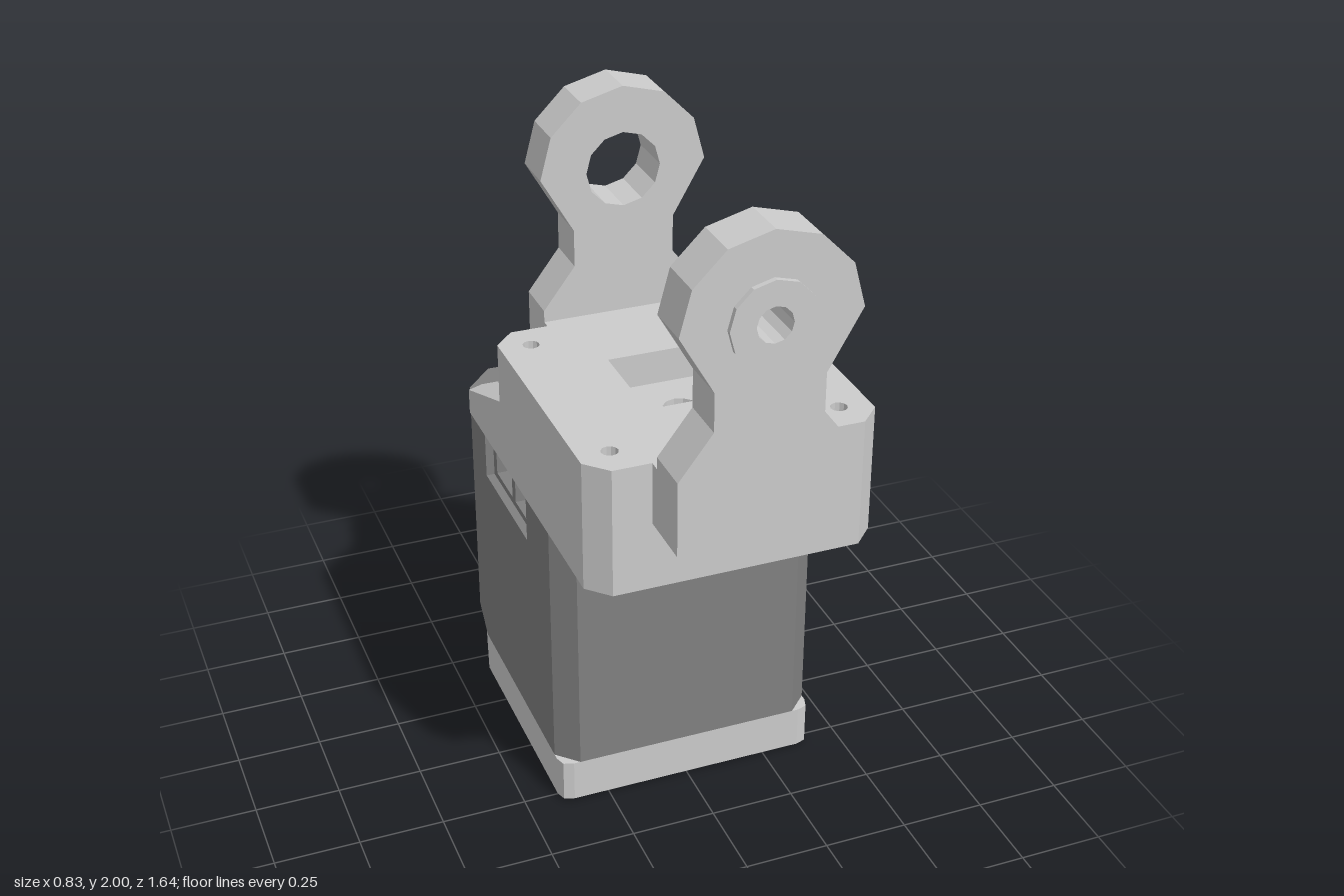
import * as THREE from 'three';

const light = new THREE.MeshStandardMaterial({ color: 0xcccccc, flatShading: true });
const dark = new THREE.MeshStandardMaterial({ color: 0x808080, flatShading: true });

// Points of a regular polygon, from angle a0 to a1 (degrees)
function arc(cx, cy, r, a0 = 0, a1 = 330, step = 30) {
  const pts = [];
  const n = Math.round(Math.abs(a1 - a0) / step);
  for (let i = 0; i <= n; i++) {
    const a = THREE.MathUtils.degToRad(a0 + ((a1 - a0) * i) / n);
    pts.push([cx + r * Math.cos(a), cy + r * Math.sin(a)]);
  }
  return pts;
}

// Completes a right-hand outline with its mirror image across x = 0
const mirrored = (pts) => [...pts, ...pts.map(([x, y]) => [-x, y]).reverse().filter(([x]) => x !== 0)];

const rect = (x0, y0, x1, y1) => [[x0, y0], [x1, y0], [x1, y1], [x0, y1]];
const vecs = (pts) => pts.map(([x, y]) => new THREE.Vector2(x, y));

function extrude(pts, depth, holes = []) {
  const shape = new THREE.Shape(vecs(pts));
  holes.forEach((h) => shape.holes.push(new THREE.Path(vecs(h))));
  return new THREE.ExtrudeGeometry(shape, { depth, bevelEnabled: false });
}

// Plan outline of [x, z] points raised from y0 to y1
function slab(pts, y0, y1, holes = []) {
  const flip = (p) => p.map(([x, z]) => [x, -z]);
  return extrude(flip(pts), y1 - y0, holes.map(flip)).rotateX(-Math.PI / 2).translate(0, y0, 0);
}

export function createModel() {
  const model = new THREE.Group();
  const add = (name, geometry, material, parent = model) => {
    const mesh = new THREE.Mesh(geometry, material);
    mesh.name = name;
    parent.add(mesh);
    return mesh;
  };
  const axisZ = -0.42;

  // Motor body in layers; the middle ones are notched for the side connector
  const body = new THREE.Group();
  body.name = 'motorBody';
  model.add(body);
  const half = [[0.34, 0.3], [0.4, 0.24], [0.4, axisZ], [0.37, -0.6], [0.28, -0.7]];
  const socket = [
    [],
    [[-0.4, -0.35], [-0.375, -0.35], [-0.375, 0.04], [-0.4, 0.04]],
    [[-0.4, -0.35], [-0.375, -0.35],
      [-0.375, -0.32], [-0.27, -0.32], [-0.27, -0.17], [-0.375, -0.17],
      [-0.375, -0.14], [-0.27, -0.14], [-0.27, 0.01], [-0.375, 0.01],
      [-0.375, 0.04], [-0.4, 0.04]],
  ];
  const levels = [0.14, 0.77, 0.79, 0.9, 0.92, 0.94];
  [0, 1, 2, 1, 0].forEach((kind, i) => {
    const outline = mirrored(half);
    outline.splice(8, 0, ...socket[kind]);
    add('bodyLayer', slab(outline, levels[i], levels[i + 1]), dark, body);
  });

  // Output discs and shafts above and below the body
  const disc = (name, r, y0, y1) =>
    add(name, new THREE.CylinderGeometry(r, r, y1 - y0, 12).translate(0, (y0 + y1) / 2, axisZ), dark);
  disc('upperDisc', 0.19, 0.94, 0.97);
  disc('upperShaft', 0.09, 0.97, 1.03);
  disc('lowerDisc', 0.19, 0.125, 0.14);
  disc('lowerShaft', 0.09, 0, 0.125);

  // Base plate with a round opening, and the raised rim behind the body
  const back = arc(0, axisZ, 0.4, 0, -60);
  const basePts = mirrored([[0.36, 0.3], [0.39, 0.29], [0.4, 0.26], ...back, [0, -0.82]]);
  add('basePlate', slab(basePts, 0.01, 0.14, [arc(0, axisZ, 0.2)]), light);
  const rim = mirrored([[0.28, -0.7], [0.2, -0.766], [0, -0.82]]);
  add('baseRim', slab(rim, 0.14, 0.28), light);

  // Bracket block: lower part, floor of the pocket, and top with pocket and screw holes
  const bracket = new THREE.Group();
  bracket.name = 'bracket';
  model.add(bracket);
  const front = [[0.355, 0.637], [0.415, 0.575], [0.415, -0.13]];
  const shaftHole = arc(0, 0.22, 0.05);
  add('bracketLower', slab(mirrored(front), 0.94, 1.14, [shaftHole]), light, bracket);
  const upper = mirrored([...front, [0.355, -0.193]]);
  add('bracketMiddle', slab(upper, 1.14, 1.22, [shaftHole]), light, bracket);
  const holes = [rect(-0.155, 0.065, 0.155, 0.37)];
  for (const x of [-0.325, 0.325]) for (const z of [-0.1, 0.54]) holes.push(arc(x, z, 0.024));
  add('bracketTop', slab(upper, 1.22, 1.32, holes), light, bracket);

  // Sloping wings either side of the upper shaft
  const wings = slab(mirrored([
    [0.415, -0.13], [0.415, -0.45], [0.355, -0.515], [0.2, -0.515],
    ...arc(0, axisZ, 0.2, 0, 60), [0, axisZ + 0.2],
  ]), 0.94, 1.14);
  const p = wings.attributes.position;
  for (let i = 0; i < p.count; i++) {
    if (p.getY(i) > 1) p.setY(i, 1.14 + (p.getZ(i) + 0.13) * 0.385);
  }
  wings.computeVertexNormals();
  add('bracketWings', wings, light, bracket);

  // Upright arms with round eyes, and their bosses
  const eyeY = 1.755;
  const armPts = mirrored([[0.245, 1.14], [0.245, 1.355], [0.15, 1.48], [0.15, 1.59],
    ...arc(0, eyeY, 0.245, 0, 60), [0, 2]]);
  const arms = [
    { name: 'front', z: 0.67, hole: 0.05, boss: 0.12, bossZ: 0.81, bossDepth: 0.015, padZ: 0.65 },
    { name: 'back', z: -0.36, hole: 0.11, boss: 0.19, bossZ: -0.372, bossDepth: 0.012, padZ: -0.205 },
  ];
  for (const a of arms) {
    const hole = arc(0, eyeY, a.hole);
    add(a.name + 'Arm', extrude(armPts, 0.14, [hole]).translate(0, 0, a.z), light);
    add(a.name + 'Boss', extrude(arc(0, eyeY, a.boss), a.bossDepth, [hole]).translate(0, 0, a.bossZ), light);
    add(a.name + 'ArmPad', new THREE.BoxGeometry(0.49, 0.18, 0.04).translate(0, 1.23, a.padZ), light);
  }
  return model;
}
